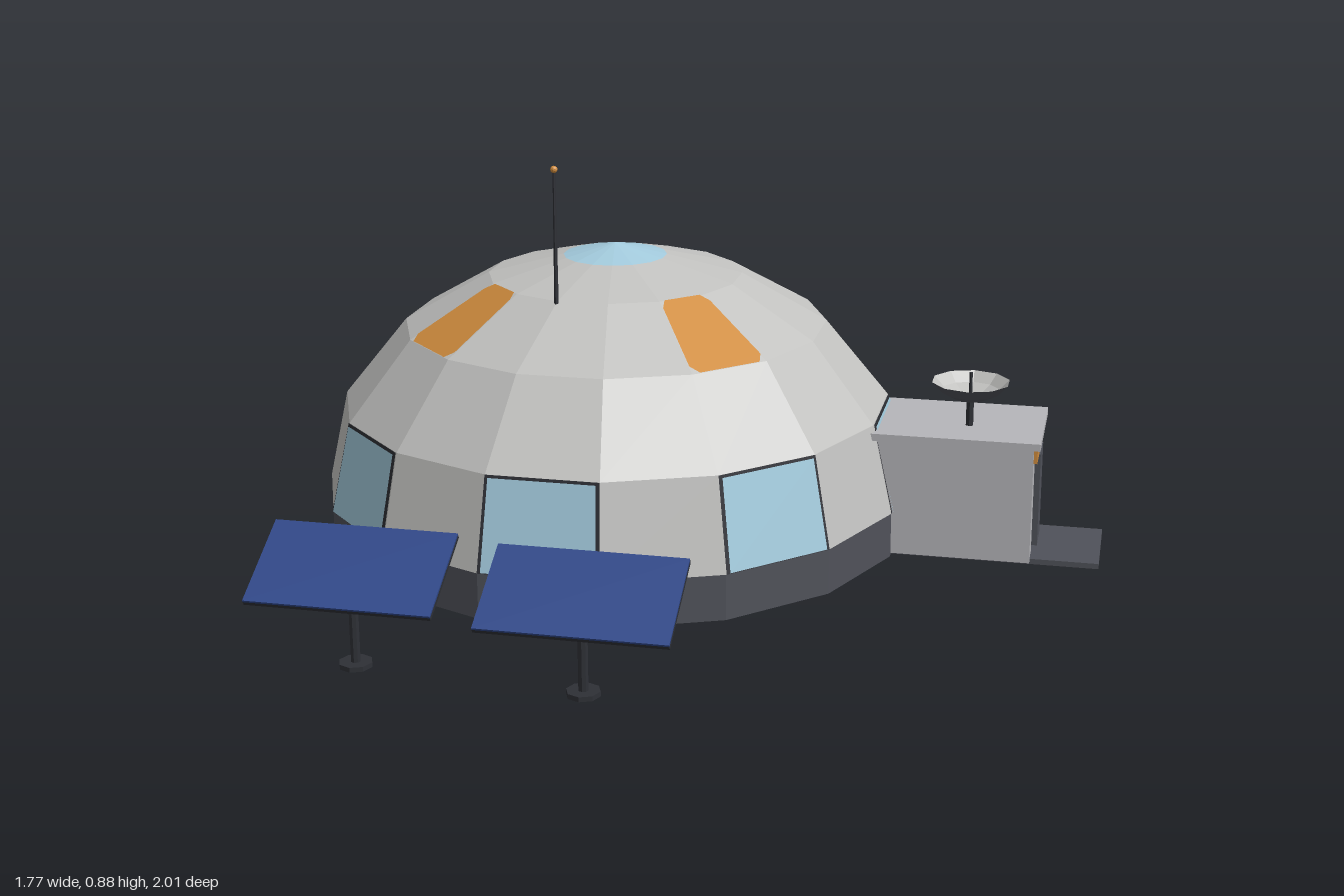
import * as THREE from 'three';

const mat = (name, color, side = THREE.FrontSide) => {
  const m = new THREE.MeshStandardMaterial({ color, side });
  m.name = name;
  return m;
};

// Faceted copy of a geometry, for crisp low-poly shading
function facet(geo) {
  const g = geo.index ? geo.toNonIndexed() : geo;
  g.computeVertexNormals();
  return g;
}

export function createModel() {
  const hull = mat('hull grey', 0xc2c2c0);
  const wall = mat('airlock grey', 0xb6b6ba);
  const dark = mat('dark grey', 0x50525a);
  const black = mat('black trim', 0x2e3036);
  const glass = mat('glass blue', 0xa3cbdd);
  const orange = mat('orange', 0xcf8c3e);
  const solar = mat('solar blue', 0x2f4788);

  const root = new THREE.Group();
  root.name = 'domeHabitat';

  const add = (parent, name, geo, material, x = 0, y = 0, z = 0) => {
    const m = new THREE.Mesh(facet(geo), material);
    m.name = name;
    m.position.set(x, y, z);
    parent.add(m);
    return m;
  };
  const group = (name, x = 0, y = 0, z = 0) => {
    const g = new THREE.Group();
    g.name = name;
    g.position.set(x, y, z);
    root.add(g);
    return g;
  };
  // Box given by its min and max corners
  const block = (parent, name, material, [x0, y0, z0], [x1, y1, z1]) =>
    add(parent, name, new THREE.BoxGeometry(x1 - x0, y1 - y0, z1 - z0), material,
      (x0 + x1) / 2, (y0 + y1) / 2, (z0 + z1) / 2);
  // Upright cylinder or cone section standing between two heights
  const column = (parent, name, material, r0, r1, y0, y1, sides, open = false, turn = 0) =>
    add(parent, name, new THREE.CylinderGeometry(r1, r0, y1 - y0, sides, 1, open, turn),
      material, 0, (y0 + y1) / 2, 0);

  // ---- Dome: 16-sided shell, rings of [radius, height] ----
  const SIDES = 16, HALF = Math.PI / SIDES;
  const dome = group('dome', -0.23, 0, -0.05);
  const rings = [[0.667, 0.1], [0.622, 0.3], [0.479, 0.475], [0.287, 0.585], [0.117, 0.628]];
  column(dome, 'foundation', dark, 0.667, 0.667, 0, 0.1, SIDES, false, HALF);
  for (let i = 0; i < rings.length - 1; i++) {
    const [r0, y0] = rings[i], [r1, y1] = rings[i + 1];
    column(dome, 'shellRing', hull, r0, r1, y0, y1, SIDES, true, HALF);
  }
  column(dome, 'skylight', glass, 0.117, 0, 0.628, 0.655, SIDES, true, HALF);

  // Thin plate on one facet of the shell; outline is in facet coordinates 0..1
  const plate = (name, material, ring, angle, lift, outline) => {
    const corner = (k, s) => {
      const [r, y] = rings[ring + k];
      return new THREE.Vector3(r * Math.sin(angle + s * HALF), y, r * Math.cos(angle + s * HALF));
    };
    const a = corner(0, -1), b = corner(0, 1), c = corner(1, 1), d = corner(1, -1);
    const n = b.clone().sub(a).cross(d.clone().sub(a)).normalize().multiplyScalar(lift);
    const pts = outline.map(([u, v]) =>
      a.clone().lerp(b, u).lerp(d.clone().lerp(c, u), v).add(n));
    const tris = [];
    for (let i = 1; i < pts.length - 1; i++) tris.push(pts[0], pts[i], pts[i + 1]);
    add(dome, name, new THREE.BufferGeometry().setFromPoints(tris), material);
  };
  const full = [[0, 0], [1, 0], [1, 1], [0, 1]];
  const pane = [[0.03, 0.01], [0.97, 0.01], [0.97, 0.97], [0.03, 0.97]];
  const clipped = [[0.1, 0], [0.9, 0], [1, 0.1], [1, 0.9], [0.9, 1], [0.1, 1], [0, 0.9], [0, 0.1]];
  for (let i = 0; i < 8; i++) {
    const angle = i * Math.PI / 4;
    plate('windowFrame', black, 0, angle, 0.002, full);
    plate('windowPane', glass, 0, angle, 0.005, pane);
    if (i % 2) plate('orangePanel', orange, 2, angle, 0.002, clipped);
  }

  // ---- Antenna ----
  const antenna = group('antenna', -0.287, 0, 0.235);
  column(antenna, 'antennaMast', black, 0.005, 0.003, 0.575, 0.87, 6);
  add(antenna, 'antennaTip', new THREE.IcosahedronGeometry(0.008, 1), orange, 0, 0.873, 0);

  // ---- Airlock: hollow, with an open doorway facing +x ----
  const airlock = group('airlock', 0, 0, -0.05);
  block(airlock, 'floorAndRamp', dark, [0.37, 0, -0.11], [0.88, 0.012, 0.11]);
  for (const s of [-1, 1]) {
    const [z0, z1] = s < 0 ? [-0.12, -0.105] : [0.105, 0.12];
    block(airlock, 'sideWall', wall, [0.37, 0.005, z0], [0.73, 0.272, z1]);
  }
  block(airlock, 'doorPillar', wall, [0.71, 0.012, 0.062], [0.73, 0.272, 0.105]);
  block(airlock, 'doorPillar', wall, [0.71, 0.012, -0.105], [0.73, 0.272, -0.062]);
  block(airlock, 'doorHeader', wall, [0.71, 0.225, -0.062], [0.73, 0.272, 0.062]);
  block(airlock, 'doorLintel', orange, [0.73, 0.232, -0.11], [0.738, 0.27, 0.11]);
  block(airlock, 'slidingDoor', dark, [0.728, 0.014, -0.06], [0.741, 0.228, 0.03]);
  block(airlock, 'crate', orange, [0.45, 0.012, 0.03], [0.51, 0.062, 0.08]);
  block(airlock, 'roof', wall, [0.375, 0.27, -0.138], [0.745, 0.286, 0.138]);

  // ---- Dish on the airlock roof ----
  const dish = group('dish', 0.582, 0, -0.02);
  column(dish, 'dishMast', black, 0.009, 0.009, 0.28, 0.35, 6);
  const bowl = [[0, 0.345], [0.035, 0.348], [0.065, 0.363], [0.087, 0.387]]
    .map(([x, y]) => new THREE.Vector2(x, y));
  add(dish, 'dishBack', new THREE.LatheGeometry(bowl, 10), dark);
  const inner = bowl.map(p => new THREE.Vector2(p.x, p.y + (p.x > 0.08 ? 0 : 0.003))).reverse();
  add(dish, 'dishFace', new THREE.LatheGeometry(inner, 10), hull);
  column(dish, 'dishFeed', black, 0.004, 0.004, 0.345, 0.407, 6);

  // ---- Solar panels, low edge towards the front ----
  for (const [x, z] of [[-0.522, 0.875], [-0.052, 0.91]]) {
    const stand = group('solarPanel', x, 0, z);
    column(stand, 'panelFoot', black, 0.034, 0.034, 0, 0.01, 8);
    column(stand, 'panelPost', black, 0.01, 0.01, 0.01, 0.198, 8);
    const tilt = new THREE.Group();
    tilt.name = 'panelTilt';
    tilt.position.y = 0.203;
    tilt.rotation.x = Math.PI / 6;
    stand.add(tilt);
    add(tilt, 'panelBacking', new THREE.BoxGeometry(0.377, 0.008, 0.203), black, 0, -0.003, 0);
    add(tilt, 'panelCells', new THREE.BoxGeometry(0.377, 0.005, 0.203), solar, 0, 0.0035, 0);
  }

  // ---- Storage tanks with rounded tops and a painted band ----
  const tanks = [
    { x: -0.525, z: -0.9, r: 0.087, body: 0.262, top: 0.307, band: 0.13, m: hull },
    { x: -0.31, z: -0.932, r: 0.07, body: 0.205, top: 0.242, band: 0.1, m: dark },
  ];
  for (const t of tanks) {
    const tank = group('tank', t.x, 0, t.z);
    const rise = t.top - t.body;
    const profile = [[0, 0], [t.r, 0], [t.r, t.body], [t.r * 0.87, t.body + rise * 0.5],
      [t.r * 0.5, t.body + rise * 0.87], [0, t.top]].map(([x, y]) => new THREE.Vector2(x, y));
    add(tank, 'tankShell', new THREE.LatheGeometry(profile, 10), t.m);
    column(tank, 'tankBand', orange, t.r + 0.003, t.r + 0.003, t.band, t.band + 0.025, 10);
  }

  return root;
}
